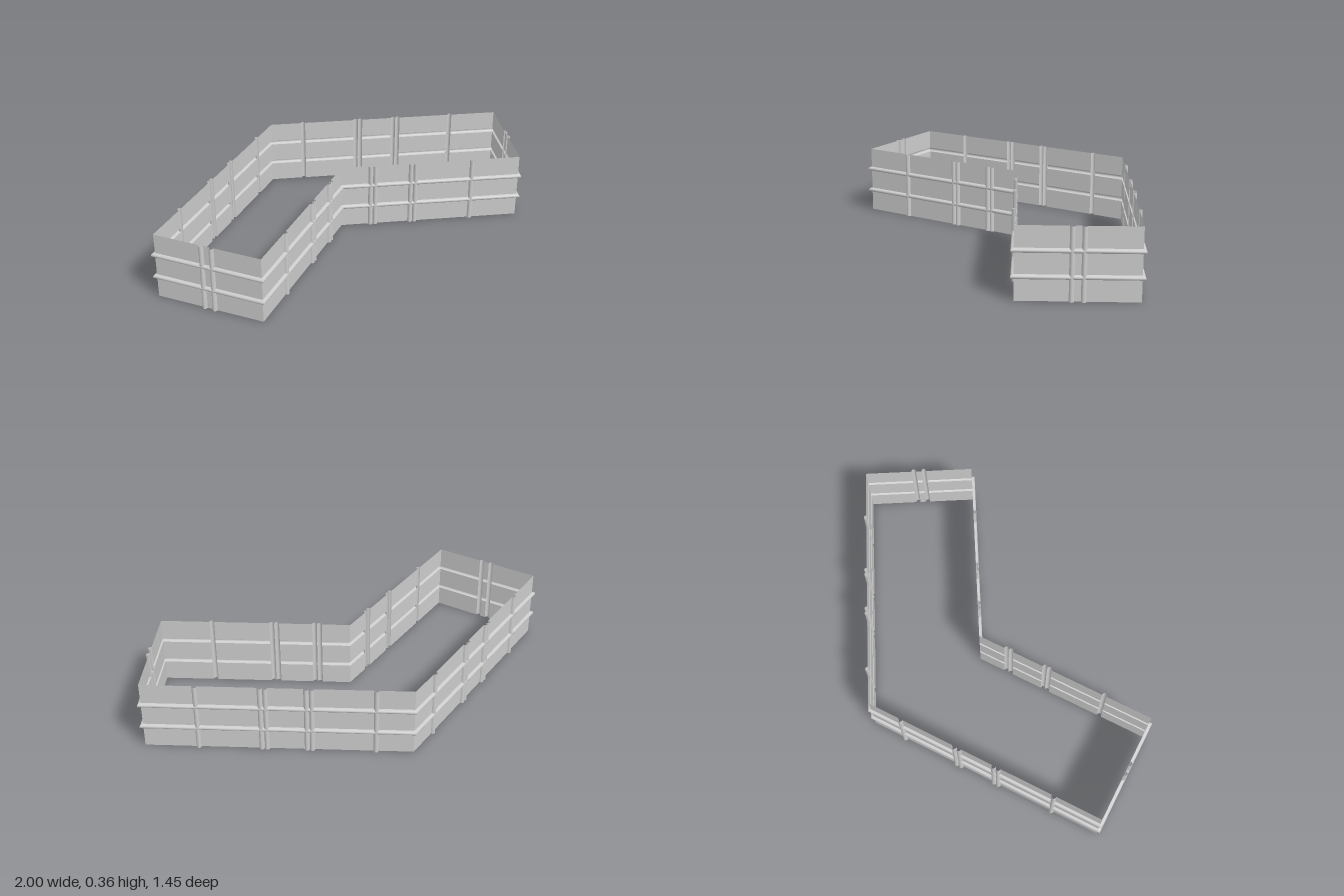
import * as THREE from 'three';

const H = 0.356;                 // wall height
const RAILS = [0.116, 0.24];     // rail heights
const RAIL_W = 0.0115, POST_W = 0.0125, DEPTH = 0.015;
const SEG = 10;

const mat = new THREE.MeshStandardMaterial({ color: 0xcccccc, side: THREE.DoubleSide });

// half-round rib profile: [position across, distance outward]
const profile = (w) => Array.from({ length: SEG + 1 }, (_, i) => {
  const a = Math.PI * i / SEG;
  return [-w * Math.cos(a), DEPTH * Math.sin(a)];
});

// surface stretched between two rows of points
function strip(name, rowA, rowB) {
  const n = rowA.length, index = [];
  for (let i = 0; i < n - 1; i++) index.push(i, i + 1, n + i, i + 1, n + i + 1, n + i);
  const g = new THREE.BufferGeometry();
  g.setAttribute('position', new THREE.Float32BufferAttribute([...rowA, ...rowB].flat(), 3));
  g.setIndex(index);
  g.computeVertexNormals();
  const mesh = new THREE.Mesh(g, mat);
  mesh.name = name;
  return mesh;
}

// one straight wall in its own frame: x along, y up, z outward
function makeWall(length, posts, startMitre, endMitre) {
  const wall = new THREE.Group();
  const postSide = (o) => POST_W * Math.sqrt(Math.max(0, 1 - (o / DEPTH) ** 2));

  // upright ribs, open at the ends
  for (const t of posts) {
    const p = profile(POST_W);
    wall.add(strip('post', p.map(([u, o]) => [t + u, H, o]), p.map(([u, o]) => [t + u, 0, o])));
  }

  // bays between the posts: flat panels and horizontal ribs
  for (let i = 0; i <= posts.length; i++) {
    const first = i === 0, last = i === posts.length;
    const x0 = (o) => first ? -startMitre * o : posts[i - 1] + postSide(o);
    const x1 = (o) => last ? length + endMitre * o : posts[i] - postSide(o);

    for (const y of RAILS) {
      const p = profile(RAIL_W);
      wall.add(strip('rail', p.map(([u, o]) => [x0(o), y + u, o]), p.map(([u, o]) => [x1(o), y + u, o])));
    }

    const levels = [0, ...RAILS.flatMap((y) => [y - RAIL_W, y + RAIL_W]), H];
    for (let k = 0; k < levels.length; k += 2) {
      const [a, b] = [levels[k], levels[k + 1]];
      wall.add(strip('panel', [[x0(0), a, 0], [x0(0), b, 0]], [[x1(0), a, 0], [x1(0), b, 0]]));
    }
  }
  return wall;
}

export function createModel() {
  const model = new THREE.Group();
  model.name = 'bentEnclosure';

  // plan corners [x, z], outward side on the right-hand frame's +z
  const corners = [
    [0.009, -0.137], [0.985, -0.137], [0.985, -0.712],
    [-0.325, -0.712], [-0.978, 0.4185], [-0.478, 0.707],
  ];
  const n = corners.length;
  const edges = corners.map((p, i) => {
    const q = corners[(i + 1) % n];
    const dx = q[0] - p[0], dz = q[1] - p[1];
    return { p, length: Math.hypot(dx, dz), angle: Math.atan2(-dz, dx) };
  });

  // post distances measured from the bend of the inner and outer walls
  const inner = [0.158, 0.184, 0.378, 0.404, 0.714];
  const outer = [0.183, 0.491, 0.517, 0.711, 0.737, 1.045];
  const flip = (list, len) => list.map((t) => len - t).reverse();
  const pair = (len) => [len / 2 - 0.0275, len / 2 + 0.0275];
  const L = edges.map((e) => e.length);
  const posts = [
    inner, pair(L[1]), flip(outer, L[2]), outer, pair(L[4]), flip(inner, L[5]),
  ];
  const names = ['innerRightWall', 'rightEndWall', 'backWall', 'outerDiagonalWall',
    'leftEndWall', 'innerDiagonalWall'];

  // mitre slope at the corner where edge i begins
  const mitre = (i) => Math.tan((edges[i % n].angle - edges[(i + n - 1) % n].angle) / 2);

  edges.forEach((e, i) => {
    const wall = makeWall(e.length, posts[i], mitre(i), mitre(i + 1));
    wall.name = names[i];
    wall.position.set(e.p[0], 0, e.p[1]);
    wall.rotation.y = e.angle;
    model.add(wall);
  });
  return model;
}
